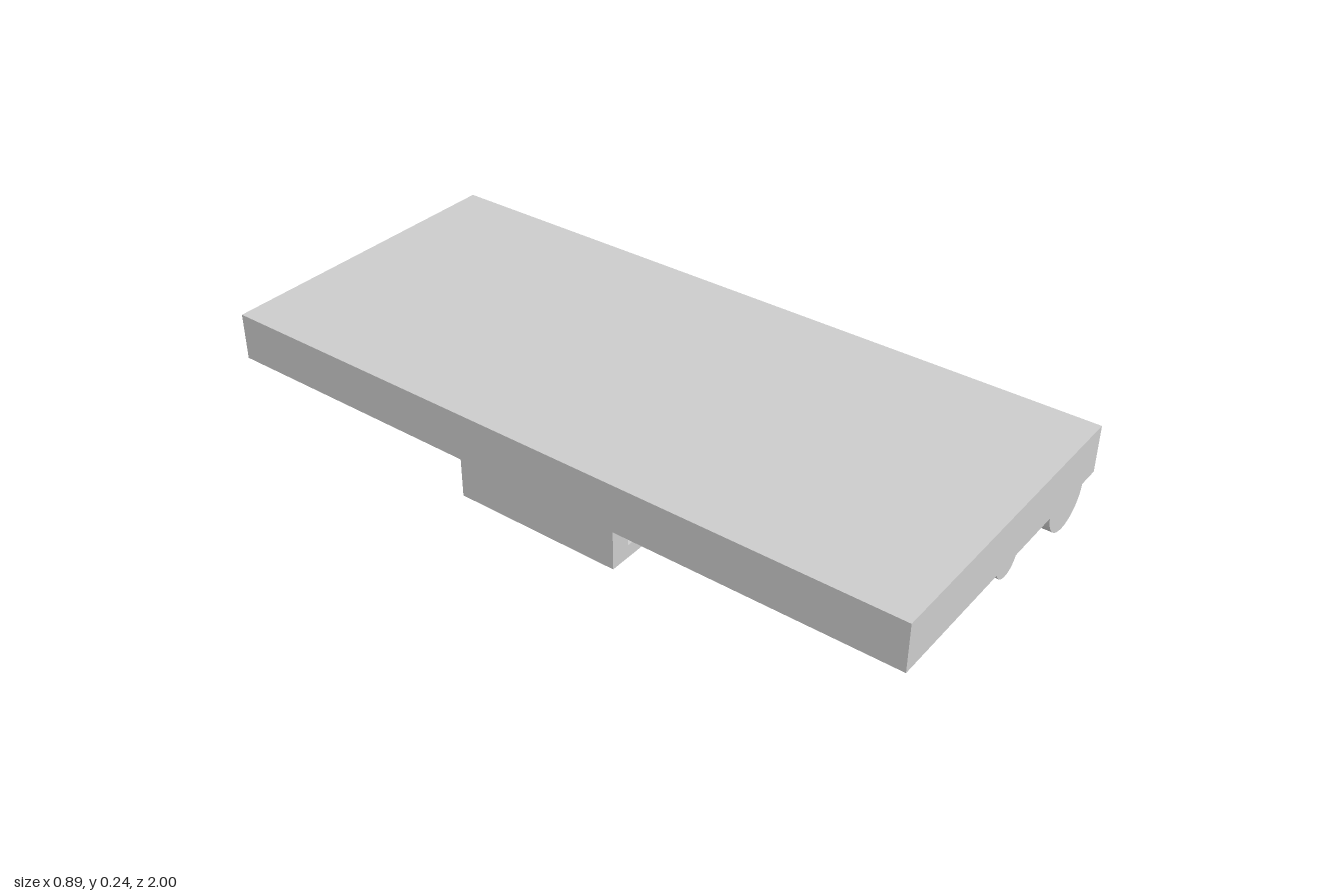
import * as THREE from 'three';
import { toCreasedNormals } from 'three/addons/utils/BufferGeometryUtils.js';

const BASE = 0.108; // underside of the slab
const TOP = 0.24;
const HALF_W = 0.443;

export function createModel() {
  const group = new THREE.Group();
  const material = new THREE.MeshStandardMaterial({ color: 0xcccccc });

  const add = (name, geometry) => {
    const mesh = new THREE.Mesh(geometry, material);
    mesh.name = name;
    group.add(mesh);
  };

  // Box given by its minimum and maximum corners
  const box = (name, [x0, y0, z0], [x1, y1, z1]) =>
    add(name, new THREE.BoxGeometry(x1 - x0, y1 - y0, z1 - z0)
      .translate((x0 + x1) / 2, (y0 + y1) / 2, (z0 + z1) / 2));

  // Rounded rail: circular segment hanging below the slab, running its full length
  const rail = (name, x, halfWidth, depth) => {
    const r = (halfWidth ** 2 + depth ** 2) / (2 * depth);
    const a = Math.asin((r - depth) / r);
    const shape = new THREE.Shape();
    shape.absarc(x, BASE - depth + r, r, Math.PI + a, 2 * Math.PI - a, false);
    const geometry = new THREE.ExtrudeGeometry(shape, { depth: 2, bevelEnabled: false, curveSegments: 32 });
    add(name, toCreasedNormals(geometry.translate(0, 0, -1), 0.5));
  };

  box('slab', [-HALF_W, BASE, -1], [HALF_W, TOP, 1]);
  rail('largeRail', 0.295, 0.085, 0.079);
  rail('smallRail', -0.005, 0.045, 0.031);

  // Block and button under the large rail
  box('buttonBlock', [0.25, 0.01, 0.352], [0.338, 0.05, 0.504]);
  box('button', [0.275, 0.003, 0.404], [0.313, 0.01, 0.452]);

  // Rib with ends sloping at 45 degrees
  const ribShape = new THREE.Shape([
    [-0.23, BASE], [-0.162, 0.04], [0.162, 0.04], [0.23, BASE],
  ].map(([z, y]) => new THREE.Vector2(z, y)));
  add('slopedRib', new THREE.ExtrudeGeometry(ribShape, { depth: 0.042, bevelEnabled: false })
    .rotateY(-Math.PI / 2).translate(0.19, 0, 0));

  // L-shaped bracket: upright wall and a plate with two slots
  box('bracketWall', [-HALF_W, 0.036, -0.235], [-0.388, BASE, 0.235]);
  const rect = (target, x0, x1, y0, y1) => {
    target.moveTo(x0, y0).lineTo(x1, y0).lineTo(x1, y1).lineTo(x0, y1).closePath();
    return target;
  };
  const plate = rect(new THREE.Shape(), -HALF_W, -0.133, -0.235, 0.235);
  for (const z of [-0.14, 0.14]) {
    plate.holes.push(rect(new THREE.Path(), -0.234, -0.186, z - 0.052, z + 0.052));
  }
  add('bracketPlate', new THREE.ExtrudeGeometry(plate, { depth: 0.036, bevelEnabled: false })
    .rotateX(-Math.PI / 2));

  return group;
}
